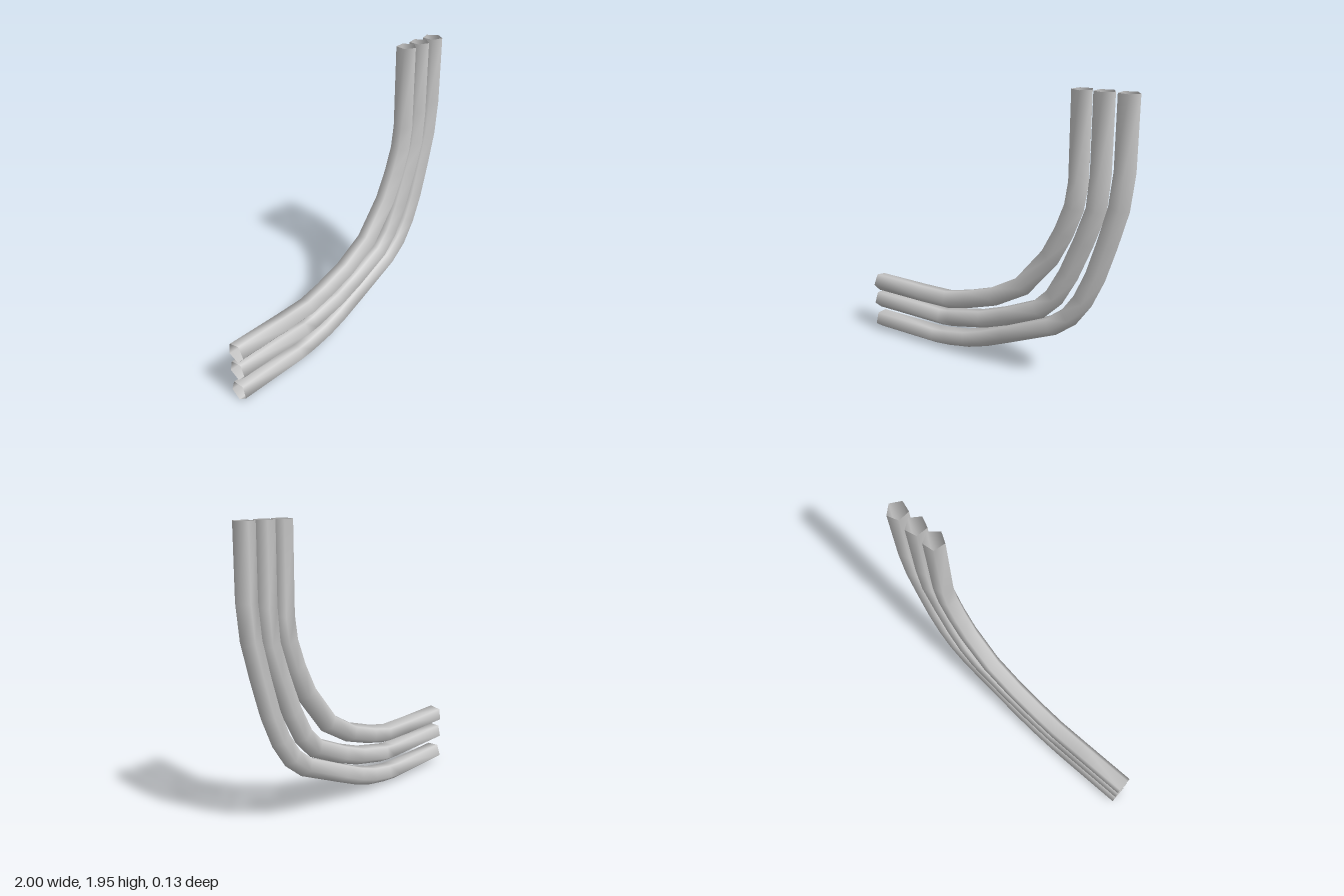
import * as THREE from 'three';

const SIDES = 5;
const RADIUS = 0.069;
const TOP = 1.945;

// Sweeps an open pentagon along a bent path, one corner on the outside of the bend
function sweptTube(path, roll) {
  const pts = path.map(([x, y]) => new THREE.Vector2(x, y));
  const positions = [];
  const indices = [];
  pts.forEach((p, k) => {
    const before = p.clone().sub(pts[Math.max(k - 1, 0)]).normalize();
    const after = pts[Math.min(k + 1, pts.length - 1)].clone().sub(p).normalize();
    const tangent = before.clone().add(after).normalize();
    // Mitre keeps the thickness constant through each bend
    const mitre = 1 / Math.max(tangent.dot(before), tangent.dot(after));
    for (let i = 0; i < SIDES; i++) {
      const a = (i / SIDES) * Math.PI * 2 + roll;
      const out = Math.cos(a) * RADIUS * mitre;
      positions.push(p.x + tangent.y * out, p.y - tangent.x * out, Math.sin(a) * RADIUS);
      if (k < pts.length - 1) {
        const r0 = k * SIDES, r1 = r0 + SIDES, j = (i + 1) % SIDES;
        indices.push(r0 + i, r1 + i, r0 + j, r1 + i, r1 + j, r0 + j);
      }
    }
  });
  const geometry = new THREE.BufferGeometry();
  geometry.setAttribute('position', new THREE.Float32BufferAttribute(positions, 3));
  geometry.setIndex(indices);
  geometry.computeVertexNormals();
  return geometry;
}

// Centre lines, from the horizontal end to the upright end
const tubes = [
  {
    name: 'outerTube', roll: 0,
    path: [[-1, 0.069], [-0.484, 0.069], [-0.372, 0.08], [-0.206, 0.11], [-0.056, 0.158],
      [0.115, 0.23], [0.473, 0.385], [0.599, 0.484], [0.695, 0.623], [0.773, 0.8],
      [0.842, 1.024], [0.906, 1.26], [0.931, 1.49], [0.931, TOP]],
  },
  {
    name: 'middleTube', roll: 0.1,
    path: [[-1, 0.234], [-0.42, 0.234], [-0.334, 0.243], [-0.072, 0.299], [0.115, 0.366],
      [0.377, 0.484], [0.495, 0.602], [0.591, 0.778], [0.687, 1.013], [0.762, 1.227],
      [0.781, 1.45], [0.781, TOP]],
  },
  {
    name: 'innerTube', roll: 0.2,
    path: [[-1, 0.374], [-0.6, 0.374], [-0.366, 0.379], [-0.195, 0.42], [0.024, 0.492],
      [0.254, 0.623], [0.457, 0.869], [0.55, 1.05], [0.615, 1.222], [0.639, 1.382],
      [0.639, TOP]],
  },
];

export function createModel() {
  const group = new THREE.Group();
  group.name = 'bentTubes';
  const material = new THREE.MeshStandardMaterial({ color: 0xcccccc, side: THREE.DoubleSide });
  for (const { name, path, roll } of tubes) {
    const mesh = new THREE.Mesh(sweptTube(path, roll), material);
    mesh.name = name;
    group.add(mesh);
  }
  return group;
}
